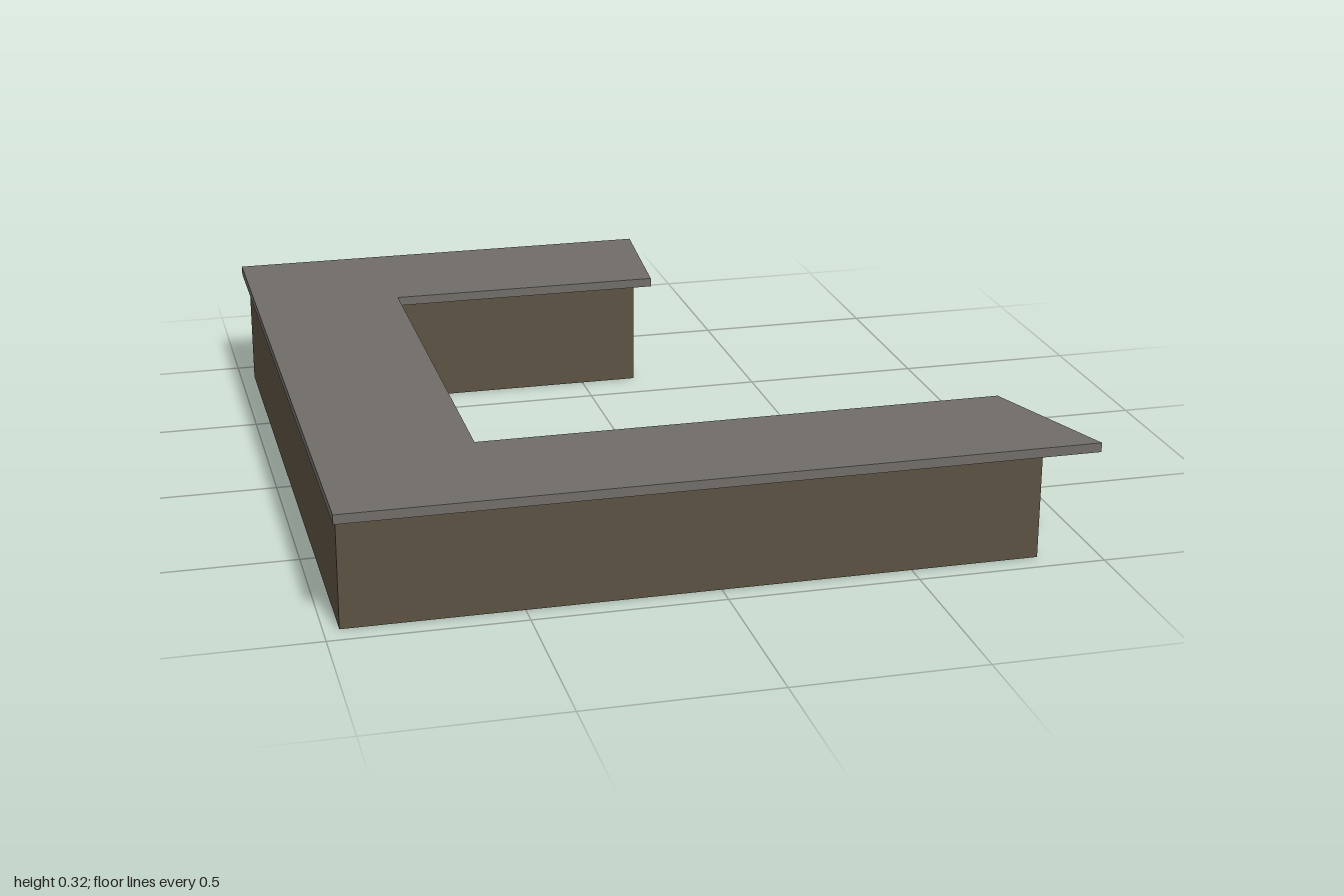
import * as THREE from 'three';

// Extrudes a floor-plan outline of [x, z] points upward from y0 to y1.
function slab(name, outline, y0, y1, material) {
  const shape = new THREE.Shape(outline.map(([x, z]) => new THREE.Vector2(x, -z)));
  const geometry = new THREE.ExtrudeGeometry(shape, { depth: y1 - y0, bevelEnabled: false });
  geometry.rotateX(-Math.PI / 2);
  geometry.translate(0, y0, 0);
  const mesh = new THREE.Mesh(geometry, material);
  mesh.name = name;
  return mesh;
}

export function createModel() {
  const stone = new THREE.MeshStandardMaterial({ color: 0x706d68 });
  stone.name = 'grey stone';
  const wood = new THREE.MeshStandardMaterial({ color: 0x5b5142 });
  wood.name = 'brown wood';

  const group = new THREE.Group();
  group.name = 'counter';

  // U-shaped cabinet base with square ends
  group.add(slab('cabinetBase', [
    [-0.96, 0.94], [0.84, 0.94], [0.84, 0.655], [-0.645, 0.655],
    [-0.645, -0.62], [0.16, -0.62], [0.16, -0.91], [-0.96, -0.91],
  ], 0, 0.3, wood));

  // Overhanging countertop with slanted ends
  group.add(slab('countertop', [
    [-0.972, 1], [0.972, 1], [0.842, 0.615], [-0.56, 0.615],
    [-0.56, -0.588], [0.205, -0.588], [0.241, -1], [-0.972, -1],
  ], 0.3, 0.325, stone));

  return group;
}
